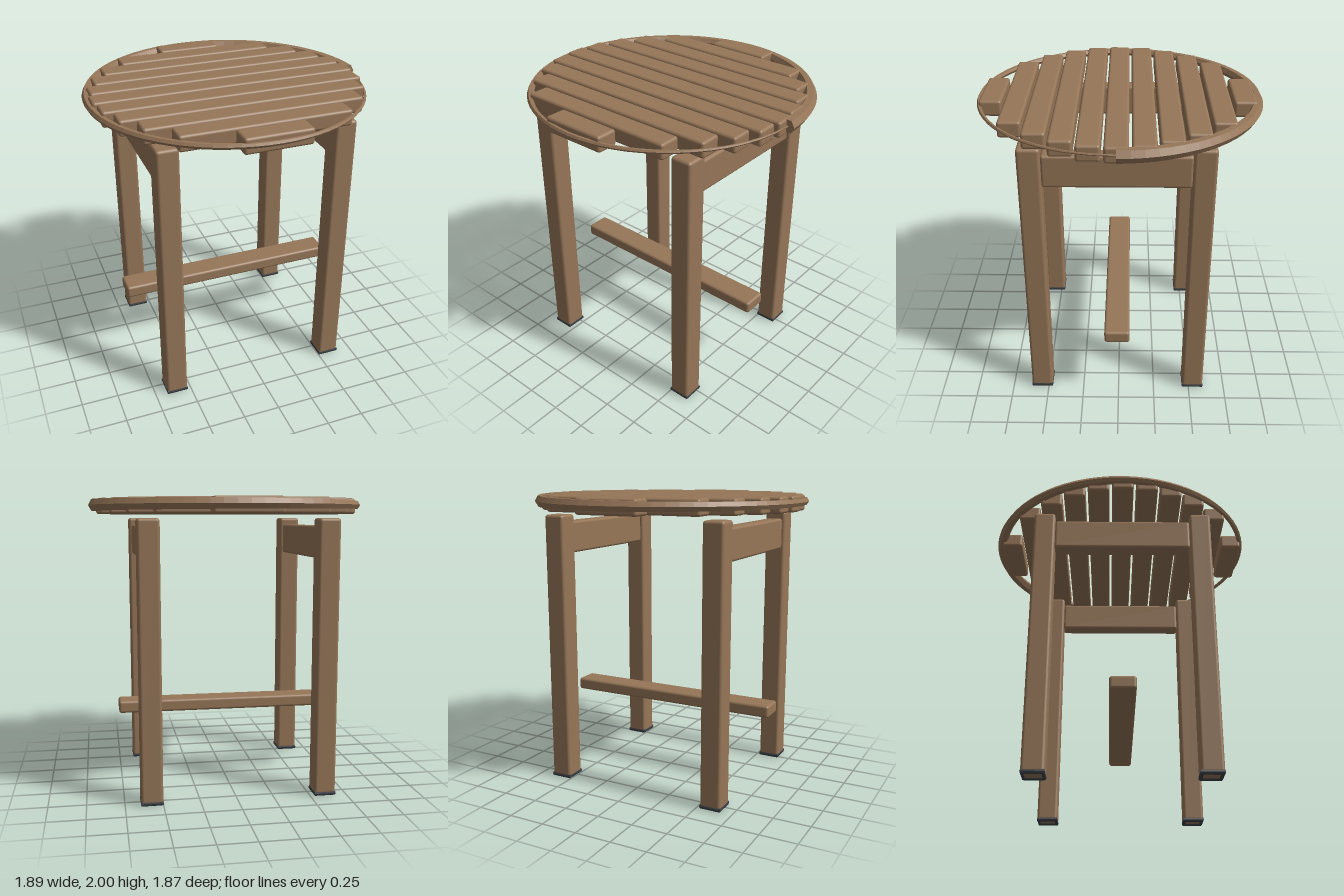
import * as THREE from 'three';
import { RoundedBoxGeometry } from 'three/addons/geometries/RoundedBoxGeometry.js';

// Hexagonal hoop that thins steadily along one full turn; zero-radius rings close its ends
function taperedHoop(radius, startR, endR, segments) {
  const sides = 6, positions = [], indices = [];
  for (let i = -1; i <= segments + 1; i++) {
    const t = THREE.MathUtils.clamp(i / segments, 0, 1);
    const r = i < 0 || i > segments ? 0 : THREE.MathUtils.lerp(startR, endR, t);
    const a = t * Math.PI * 2;
    for (let j = 0; j < sides; j++) {
      const phi = (j / sides) * Math.PI * 2;
      const d = radius + r * Math.cos(phi);
      positions.push(d * Math.cos(a), r * Math.sin(phi), -d * Math.sin(a));
    }
  }
  for (let i = 0; i < segments + 2; i++) {
    for (let j = 0; j < sides; j++) {
      const k = (j + 1) % sides;
      const p = i * sides + j, q = i * sides + k;
      indices.push(p, p + sides, q, q, p + sides, q + sides);
    }
  }
  const geometry = new THREE.BufferGeometry();
  geometry.setAttribute('position', new THREE.Float32BufferAttribute(positions, 3));
  geometry.setIndex(indices);
  const flat = geometry.toNonIndexed();
  flat.computeVertexNormals();
  return flat;
}

export function createModel() {
  const wood = new THREE.MeshStandardMaterial({ color: 0x967658 });
  wood.name = 'wood';
  const rubber = new THREE.MeshStandardMaterial({ color: 0x3a3f45 });
  rubber.name = 'darkRubber';

  const model = new THREE.Group();
  model.name = 'slattedStool';
  // The frame sits slightly off the origin because the hoop is thicker at one end
  const stool = new THREE.Group();
  stool.name = 'stool';
  stool.position.set(-0.013, 0, 0.009);
  model.add(stool);

  const add = (name, geometry, material, x, y, z) => {
    const mesh = new THREE.Mesh(geometry, material);
    mesh.name = name;
    mesh.position.set(x, y, z);
    stool.add(mesh);
    return mesh;
  };
  const board = (name, w, h, d, x, y, z, r = 0.018) =>
    add(name, new RoundedBoxGeometry(w, h, d, 3, r), wood, x, y, z);

  // Seat slats, shortening from the middle to the edges
  const halfLengths = [0.9, 0.879, 0.816, 0.715, 0.553, 0.22];
  for (let i = -5; i <= 5; i++) {
    board('seatSlat', halfLengths[Math.abs(i)] * 2, 0.105, 0.146, 0, 1.9475, i * 0.163);
  }

  // Hoop around the seat
  add('seatHoop', taperedHoop(0.908, 0.047, 0.006, 72), wood, 0, 1.956, 0);

  // Legs with square rubber rings under them
  const footGeometry = new THREE.TorusGeometry(0.089, 0.017, 8, 4);
  footGeometry.rotateZ(Math.PI / 4);
  footGeometry.rotateX(Math.PI / 2);
  const foot = footGeometry.toNonIndexed();
  foot.computeVertexNormals();
  for (const sx of [-1, 1]) {
    for (const sz of [-1, 1]) {
      board('leg', 0.146, 1.856, 0.146, sx * 0.586, 0.94, sz * 0.535, 0.02);
      add('footRing', foot, rubber, sx * 0.586, 0.017, sz * 0.535);
    }
    // Side apron between front and back legs
    board('sideApron', 0.11, 0.215, 0.928, sx * 0.586, 1.711, 0);
  }

  // Low stretcher across the middle
  board('stretcher', 1.55, 0.086, 0.17, 0, 0.543, 0);

  return model;
}
